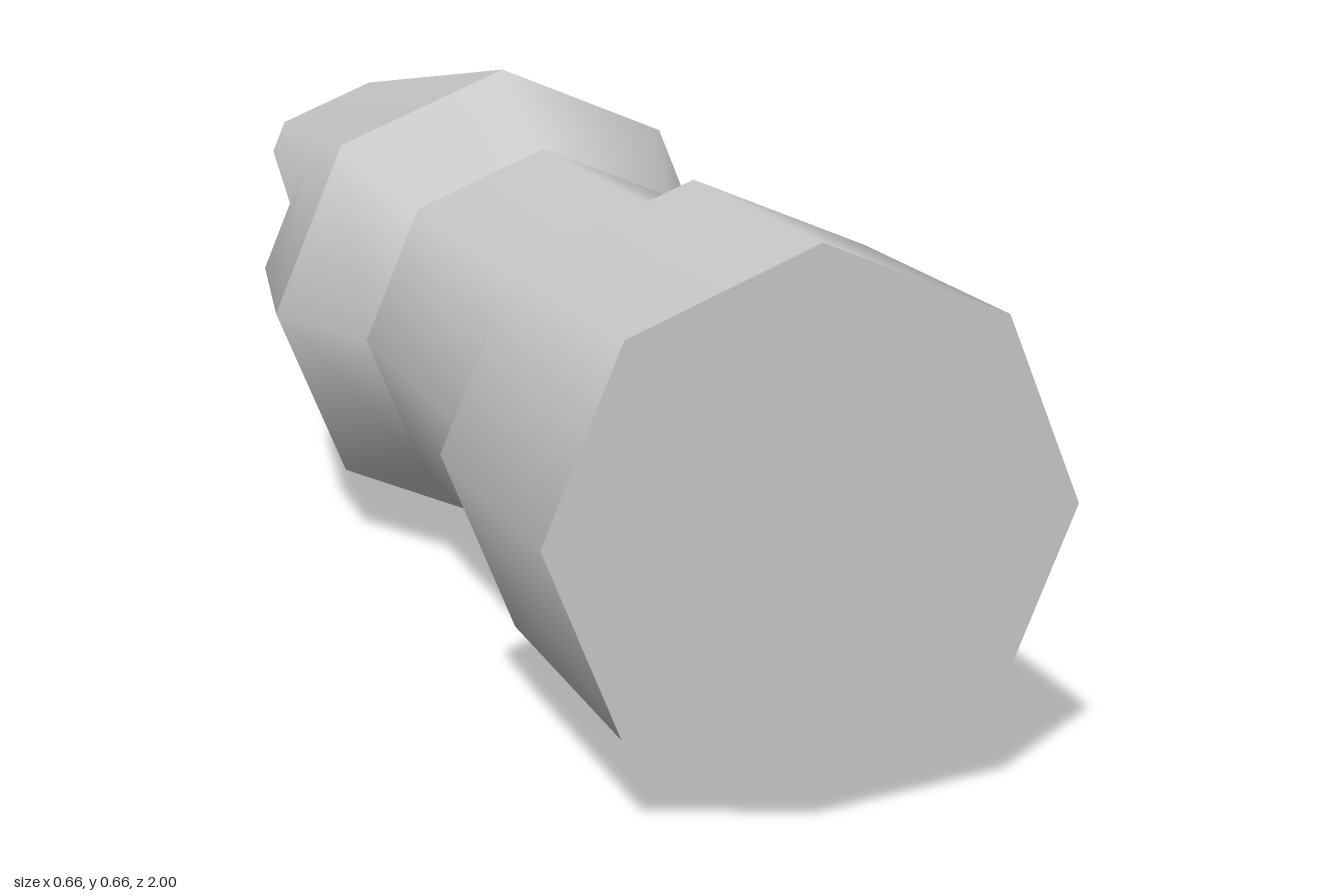
import * as THREE from 'three';
import { mergeGeometries } from 'three/addons/utils/BufferGeometryUtils.js';

const SIDES = 8, AXIS_Y = 0.332;
const BORE = 0.17, BORE_END = -0.2;              // inner radius and depth of the socket
const SLOT_Z = -0.52, SLOT_H = 0.097, TIP_Z = -1; // slot start, half height, tip
const FLARE_R = 0.332, SLOT_R = 0.281, TIP_R = 0.205;
const K = Math.tan(Math.PI / 8), C = Math.SQRT1_2;

const grey = new THREE.MeshStandardMaterial({ color: 0xcccccc });
const greyDouble = new THREE.MeshStandardMaterial({ color: 0xcccccc, side: THREE.DoubleSide });
const V = (x, y, z) => new THREE.Vector3(x, y, z);

function mesh(name, geometry, material = grey) {
  const m = new THREE.Mesh(geometry, material);
  m.name = name;
  return m;
}

// Eight-sided section along z, from radius r0 at z0 (front) to r1 at z1 (rear)
function section(name, r0, z0, r1, z1, open = true, material = grey) {
  const g = new THREE.CylinderGeometry(r0, r1, z0 - z1, SIDES, 1, open);
  g.rotateX(Math.PI / 2).translate(0, 0, (z0 + z1) / 2);
  return mesh(name, g, material);
}

// Upper part of an octagon of radius r, cut off at the slot
function arc(r, z) {
  const e = r - K * SLOT_H;
  return [V(e, SLOT_H, z), V(r * C, r * C, z), V(0, r, z), V(-r * C, r * C, z), V(-e, SLOT_H, z)];
}

// Smooth normals for an arc; cut ends blend between the two nearest corners
function arcNormals(r, sign, slope) {
  const t = SLOT_H / (r * C);
  const n = V(1, 0, slope).normalize().lerp(V(C, C, slope).normalize(), t).normalize();
  const list = [n, V(C, C, slope), V(0, 1, slope), V(-C, C, slope), V(-n.x, n.y, n.z)];
  return list.map(v => v.normalize().multiplyScalar(sign));
}

// Strip of quads between two rows of points
function strip(a, b, na, nb) {
  const g = new THREE.BufferGeometry().setFromPoints([...a, ...b]);
  const index = [], n = a.length;
  for (let i = 0; i < n - 1; i++) index.push(i, n + i, i + 1, i + 1, n + i, n + i + 1);
  g.setIndex(index);
  if (na) g.setAttribute('normal', new THREE.Float32BufferAttribute([...na, ...nb].flatMap(v => v.toArray()), 3));
  else g.computeVertexNormals();
  return g;
}

function jawGeometry() {
  const a = arc(SLOT_R, SLOT_Z), b = arc(TIP_R, TIP_Z);
  const ia = arc(BORE, SLOT_Z), ib = arc(BORE, TIP_Z);
  const slope = -(SLOT_R - TIP_R) / (SLOT_Z - TIP_Z);
  const inner = arcNormals(BORE, -1, 0);
  return mergeGeometries([
    strip(a, b, arcNormals(SLOT_R, 1, slope), arcNormals(TIP_R, 1, slope)),
    strip(ib, ia, inner, inner),
    strip(b, ib),                              // tip
    strip([a[0], b[0]], [ia[0], ib[0]]),       // slot edges
    strip([b[4], a[4]], [ib[4], ia[4]]),
  ]);
}

export function createModel() {
  const group = new THREE.Group();
  group.name = 'slottedPlug';
  const body = new THREE.Group();
  body.name = 'body';
  body.position.y = AXIS_Y;
  group.add(body);

  body.add(
    section('endCap', 0.308, 1, 0.308, 0.6, false),
    section('shaft', 0.25, 0.6, 0.25, 0),
    section('flare', 0.25, 0, FLARE_R, -0.2),
    section('taper', FLARE_R, -0.2, SLOT_R, SLOT_Z),
    section('bore', BORE, BORE_END, BORE, SLOT_Z, true, greyDouble),
  );

  // Closed bottom of the bore, facing the rear
  const floor = mesh('boreFloor', new THREE.CircleGeometry(BORE, SIDES));
  floor.rotation.y = Math.PI;
  floor.position.z = BORE_END;
  body.add(floor);

  // Wall ends showing in the slot on each side, and the two jaws
  const d = K * SLOT_H;
  const wall = new THREE.ShapeGeometry(new THREE.Shape([
    [SLOT_R - d, -SLOT_H], [SLOT_R, 0], [SLOT_R - d, SLOT_H],
    [BORE - d, SLOT_H], [BORE, 0], [BORE - d, -SLOT_H],
  ].map(p => new THREE.Vector2(...p))));
  wall.rotateY(Math.PI).translate(0, 0, SLOT_Z);
  const jaw = jawGeometry();
  ['upperJaw', 'lowerJaw'].forEach((name, i) => {
    const j = mesh(name, jaw);
    const w = mesh(i ? 'leftSlotEnd' : 'rightSlotEnd', wall);
    j.rotation.z = w.rotation.z = i * Math.PI;
    body.add(j, w);
  });
  return group;
}
